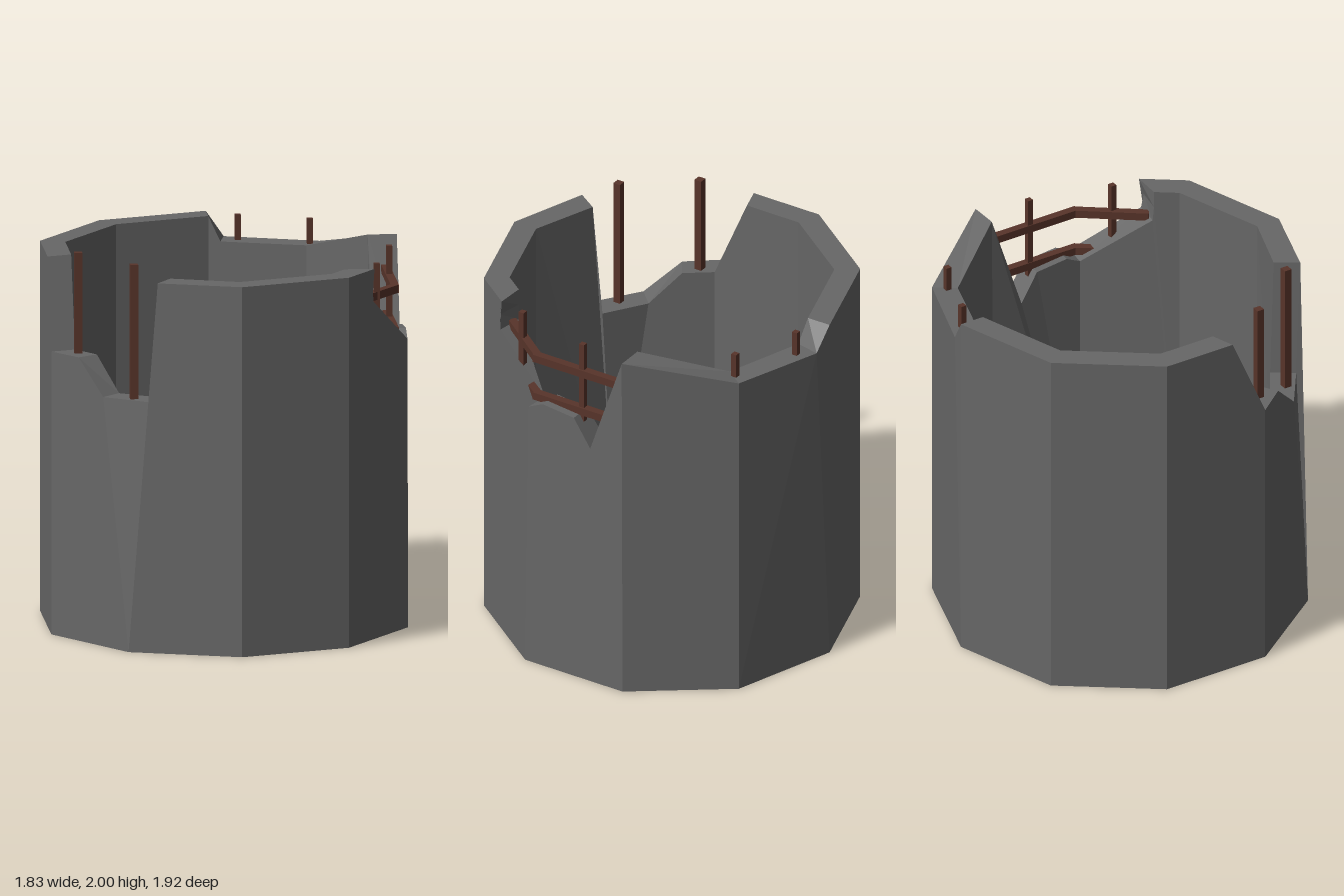
import * as THREE from 'three';

const concrete = new THREE.MeshStandardMaterial({ color: 0x676767, flatShading: true });
concrete.name = 'concrete grey';
const rust = new THREE.MeshStandardMaterial({ color: 0x58342a });
rust.name = 'rusty iron';

// Decagon corners at the foot, from the front towards +x
const corner = (k, r) => {
  const a = (k / 10) * Math.PI * 2;
  return [Math.sin(a) * r, Math.cos(a) * r];
};
const OUTER = 0.962, INNER = 0.83, TOP = 1.93;

// Rim stations: foot corner, height, outer x z, inner x z
const station = (k, y, o = corner(k, OUTER), i = corner(k, INNER)) => ({ k, y, o, i });
const rim = [
  station(0, TOP),
  station(1, TOP),
  // large breach on the +x side
  station(1, TOP, [0.717, 0.57], [0.565, 0.565]),
  station(1, 1.84, [0.703, 0.59], [0.565, 0.565]),
  station(1, 1.76, [0.712, 0.58], [0.57, 0.56]),
  station(2, 1.5, [0.915, 0.275], [0.79, 0.26]),
  station(2, 1.54, [0.915, 0.19], [0.79, 0.18]),
  station(2, 1.52, [0.915, 0], [0.79, 0]),
  station(2, 1.37, [0.915, -0.1], [0.78, -0.1]),
  station(3, TOP, [0.915, -0.292], [0.765, -0.29]),
  // lowered rim at the back
  station(4, 1.8),
  station(5, 1.8, [0.09, -0.942], [0.06, -0.81]),
  station(5, TOP),
  station(6, TOP),
  station(7, TOP),
  // stepped breach on the -x front side
  station(7, TOP, [-0.915, 0.1], [-0.79, 0.06]),
  station(8, 1.475),
  station(8, 1.475, [-0.79, 0.455], [-0.69, 0.39]),
  station(9, 1.3, [-0.68, 0.62], [-0.59, 0.53]),
  station(9, 1.3, [-0.45, 0.78], [-0.375, 0.67]),
  station(9, TOP, [-0.42, 0.824], [-0.345, 0.71]),
];

function wallGeometry() {
  const pos = [];
  const tri = (...pts) => pts.forEach((p) => pos.push(...p));
  const quad = (a, b, c, d) => { tri(a, b, c); tri(a, c, d); };
  const at = ([x, z], y) => [x, y, z];
  rim.forEach((s, n) => {
    const e = rim[(n + 1) % rim.length];
    const so = at(s.o, s.y), eo = at(e.o, e.y), si = at(s.i, s.y), ei = at(e.i, e.y);
    const bso = at(corner(s.k, OUTER), 0), beo = at(corner(e.k, OUTER), 0);
    const bsi = at(corner(s.k, INNER), 0), bei = at(corner(e.k, INNER), 0);
    quad(so, eo, ei, si); // broken rim
    tri(bso, eo, so); // outside
    tri(bsi, si, ei); // inside
    if (s.k !== e.k) {
      tri(bso, beo, eo);
      tri(bsi, ei, bei);
      quad(bso, bsi, bei, beo); // underside
    }
  });
  const g = new THREE.BufferGeometry();
  g.setAttribute('position', new THREE.Float32BufferAttribute(pos, 3));
  g.computeVertexNormals();
  return g;
}

// Square bar between two points
function bar(name, a, b, size) {
  const from = new THREE.Vector3(...a), to = new THREE.Vector3(...b);
  const mesh = new THREE.Mesh(new THREE.BoxGeometry(size, size, from.distanceTo(to)), rust);
  mesh.position.copy(from).add(to).multiplyScalar(0.5);
  mesh.lookAt(to);
  mesh.name = name;
  return mesh;
}

function upright(x, z, bottom, top, size) {
  const mesh = new THREE.Mesh(new THREE.BoxGeometry(size, top - bottom, size), rust);
  mesh.position.set(x, (top + bottom) / 2, z);
  mesh.name = 'uprightRod';
  return mesh;
}

export function createModel() {
  const group = new THREE.Group();
  group.name = 'brokenRingWall';
  const wall = new THREE.Mesh(wallGeometry(), concrete);
  wall.name = 'wall';
  group.add(wall);

  // Reinforcing rods standing out of the wall
  [
    [-0.782, 0.342, 1.25, 2, 0.04],
    [-0.527, 0.67, 1.25, 2, 0.04],
    [0.153, -0.857, 1.6, 1.932, 0.03],
    [0.51, -0.72, 1.6, 1.932, 0.03],
    [0.848, -0.012, 1.3, TOP, 0.03],
    [0.742, 0.425, 1.45, TOP, 0.03],
  ].forEach((r) => group.add(upright(...r)));

  // Bent cross rods spanning the large breach
  for (const [y, start, end] of [[1.762, [0.62, 0.57], -0.24], [1.54, [0.77, 0.377], -0.17]]) {
    group.add(bar('crossRodFront', [start[0], y, start[1]], [0.85, y, 0.265], 0.042));
    group.add(bar('crossRodSide', [0.85, y, 0.28], [0.85, y, end], 0.042));
  }
  return group;
}
